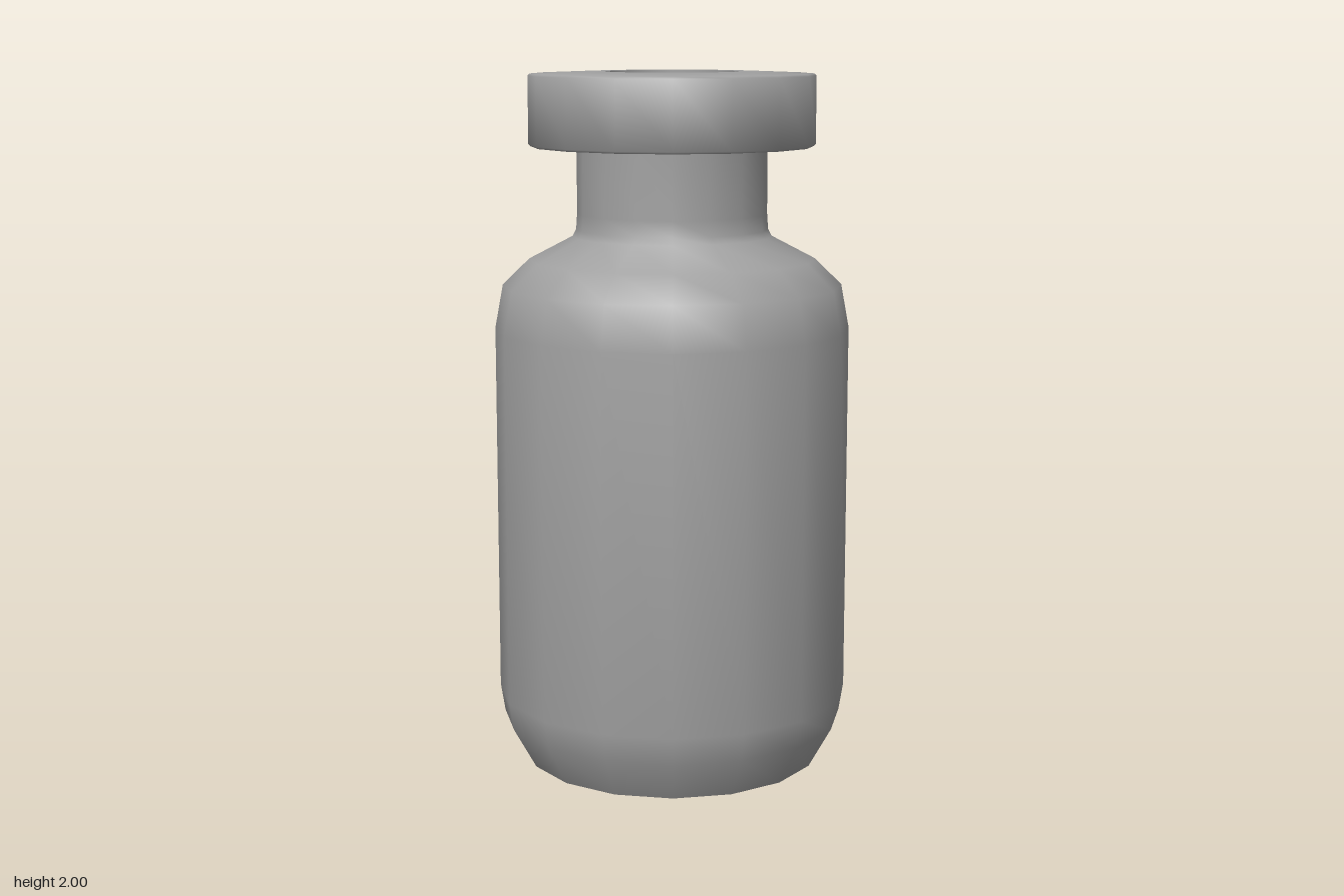
import * as THREE from 'three';
import { toCreasedNormals } from 'three/addons/utils/BufferGeometryUtils.js';

const SIDES = 16;

// Turned part from [radius, height] pairs, listed from the bottom up
function turned(name, profile, material) {
  const points = profile.map(([r, y]) => new THREE.Vector2(r, y));
  const geometry = toCreasedNormals(new THREE.LatheGeometry(points, SIDES), 0.95);
  const mesh = new THREE.Mesh(geometry, material);
  mesh.name = name;
  return mesh;
}

export function createModel() {
  const group = new THREE.Group();
  group.name = 'vial';
  const grey = new THREE.MeshStandardMaterial({ color: 0xa0a0a0 });
  const rubber = new THREE.MeshStandardMaterial({ color: 0x151515 });

  // Bottle with bevelled foot, rounded shoulder and straight neck
  group.add(turned('bottle', [
    [0, 0], [0.43, 0], [0.497, 0.12], [0.51, 0.2],
    [0.51, 1.27], [0.487, 1.395], [0.41, 1.47],
    [0.285, 1.535], [0.275, 1.555], [0.272, 1.6], [0.272, 1.8],
  ], grey));

  // Crimped collar with softened rims and a round opening in the top
  group.add(turned('cap', [
    [0.26, 1.79], [0.403, 1.79], [0.409, 1.796], [0.409, 1.988],
    [0.403, 1.994], [0.25, 2], [0.188, 2], [0.188, 1.96],
  ], grey));

  // Recessed stopper with a shallow ring around its centre
  group.add(turned('stopper', [
    [0, 1.8], [0.188, 1.8], [0.188, 1.98], [0.122, 1.98],
    [0.12, 1.975], [0.115, 1.975], [0.113, 1.98], [0, 1.98],
  ], rubber));

  return group;
}
